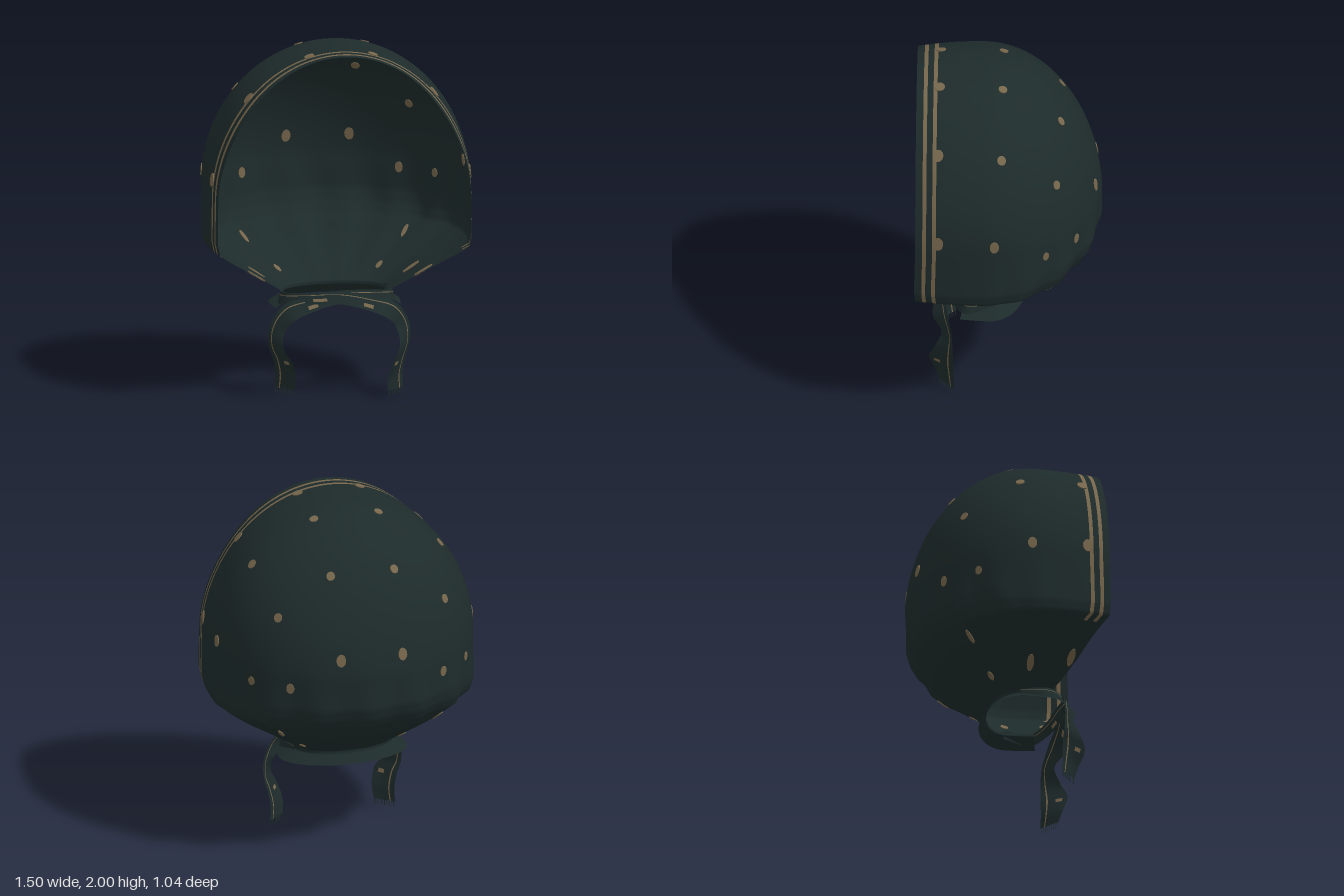
import * as THREE from 'three';

const cloth = new THREE.MeshStandardMaterial({ color: 0x1e2b2b, side: THREE.DoubleSide });
cloth.name = 'dark green cloth';
const tan = new THREE.MeshStandardMaterial({ color: 0x76664c, side: THREE.DoubleSide });
tan.name = 'tan print';

// Smooth sheet from a grid of points; cells chosen by "printed(row, column)" are tan
function sheet(name, grid, printed) {
  const cols = grid[0].length;
  const index = [[], []];
  for (let i = 0; i < grid.length - 1; i++) {
    for (let j = 0; j < cols - 1; j++) {
      const a = i * cols + j, b = a + cols;
      index[printed(i, j) ? 1 : 0].push(a, b, a + 1, a + 1, b, b + 1);
    }
  }
  const geo = new THREE.BufferGeometry().setFromPoints(grid.flat());
  geo.setIndex([...index[0], ...index[1]]);
  geo.addGroup(0, index[0].length, 0);
  geo.addGroup(index[0].length, index[1].length, 1);
  geo.computeVertexNormals();
  const mesh = new THREE.Mesh(geo, [cloth, tan]);
  mesh.name = name;
  return mesh;
}

// Level slices of the lower hood: y, half width, front z, back z, z where the side starts to curve
const LOWER = [
  [1.2, 0.75, 0.515, -0.517, 0.15],
  [1.0, 0.752, 0.52, -0.51, 0.15],
  [0.93, 0.752, 0.52, -0.485, 0.15],
  [0.87, 0.738, 0.515, -0.445, 0.15],
  [0.83, 0.685, 0.475, -0.405, 0.145],
  [0.78, 0.61, 0.43, -0.36, 0.14],
  [0.7, 0.48, 0.37, -0.26, 0.13],
  [0.62, 0.36, 0.3, -0.14, 0.11],
  [0.57, 0.29, 0.25, -0.06, 0.1],
  [0.55, 0.285, 0.25, -0.06, 0.1],
  [0.525, 0.33, 0.26, -0.08, 0.1],
  [0.5, 0.37, 0.27, -0.1, 0.1],
];

function hoodSlices() {
  const slices = [];
  const n = 36;
  for (let i = 0; i < n; i++) {
    const a = (i / n) * Math.PI / 2;
    const y = 1.2 + 0.8 * Math.cos(a);
    const back = 0.15 - 0.67 * Math.sqrt(Math.max(0, 1 - ((y - 1.12) / 0.88) ** 2));
    slices.push([y, 0.75 * Math.sin(a), 0.515, back, 0.15]);
  }
  for (let k = 0; k < LOWER.length - 1; k++) {
    const steps = k === 0 ? 8 : 4;
    for (let s = 0; s < steps; s++) {
      slices.push(LOWER[k].map((v, c) => THREE.MathUtils.lerp(v, LOWER[k + 1][c], s / steps)));
    }
  }
  slices.push(LOWER[LOWER.length - 1]);
  return slices;
}

// One U-shaped slice, from the left rim around the back to the right rim
const RIM = [0, 0.04, 0.062, 0.095, 0.117];
function slicePoints([y, w, zf, zb, zc]) {
  const half = [];
  // the face opening draws in slightly, more so towards the top
  const up = THREE.MathUtils.smoothstep(y, 1.1, 1.8);
  const side = (z) => {
    const k = ((z - zc) / (zf - zc)) ** 2;
    half.push(new THREE.Vector3(w * (1 - (0.045 + 0.05 * up) * k), y - 0.01 * up * k, z));
  };
  RIM.forEach((d) => side(zf - d));
  for (let i = 1; i <= 5; i++) side(THREE.MathUtils.lerp(zf - RIM[4], zc, i / 5));
  // gathered folds fade in towards the neck
  const fold = 0.02 * THREE.MathUtils.smoothstep(1.3 - y, 0, 0.5) * THREE.MathUtils.smoothstep(y, 0.5, 0.72);
  for (let i = 1; i <= 44; i++) {
    const t = (i / 44) * Math.PI / 2;
    const r = 1 + fold * Math.cos(16 * t) * Math.min(1, t * 1.5);
    half.push(new THREE.Vector3(w * Math.cos(t) * r, y, zc + (zb - zc) * Math.sin(t) * r));
  }
  const mirrored = half.slice(0, -1).reverse().map((p) => new THREE.Vector3(-p.x, p.y, p.z));
  return [...half, ...mirrored];
}

// Printed dots on the left half: x, y, z, radius, stretch
const DOTS = [
  [0.19, 1.97, 0.03, 0.025, 1], [0.18, 1.97, 0.385, 0.029, 1],
  [0.56, 1.74, 0.03, 0.025, 1.1], [0.51, 1.73, 0.385, 0.029, 1.2],
  [0.19, 1.76, -0.31, 0.024, 1.1], [0.5, 1.53, -0.29, 0.024, 1.1],
  [0.75, 1.27, 0.07, 0.026, 1.35], [0.72, 1.28, 0.385, 0.029, 1.35],
  [0.18, 1.31, -0.49, 0.027, 1.35], [0.45, 1.13, -0.39, 0.023, 1.35],
  [0.63, 1.13, -0.22, 0.02, 1.3], [0.44, 0.67, 0.11, 0.02, 2.8],
  [0.47, 0.71, 0.335, 0.02, 3], [0.46, 0.79, -0.24, 0.013, 3.5],
  [0.3, 0.62, -0.1, 0.015, 2],
];

function addDots(group, hood) {
  const pos = hood.geometry.attributes.position, nor = hood.geometry.attributes.normal;
  const p = new THREE.Vector3(), best = new THREE.Vector3(), normal = new THREE.Vector3();
  for (const s of [1, -1]) {
    for (const [x, y, z, r, stretch] of DOTS) {
      const target = new THREE.Vector3(x * s, y, z);
      let d = Infinity;
      for (let i = 0; i < pos.count; i++) {
        p.fromBufferAttribute(pos, i);
        if (p.distanceToSquared(target) < d) {
          d = p.distanceToSquared(target);
          best.copy(p);
          normal.fromBufferAttribute(nor, i).normalize();
        }
      }
      // lay the plate on the cloth, long side running up the hood
      target.addScaledVector(normal, best.sub(target).dot(normal));
      const dot = new THREE.Mesh(new THREE.CylinderGeometry(r, r, 0.0095, 14).rotateX(Math.PI / 2), tan);
      dot.name = 'printedDot';
      dot.position.copy(target);
      dot.lookAt(target.add(normal));
      dot.scale.y = stretch;
      group.add(dot);
    }
  }
}

// Tie: ribbon centre x, y, z, then half-width vector; starts on the far side and crosses in front
const TIE = [
  [-0.29, 0.555, 0.08, 0, 0.025, 0],
  [-0.32, 0.55, 0.24, 0.01, 0.032, 0],
  [-0.2, 0.565, 0.325, 0, 0.03, -0.015],
  [0, 0.57, 0.36, 0, 0.032, -0.02],
  [0.17, 0.535, 0.375, 0.01, 0.035, -0.03],
  [0.29, 0.49, 0.37, 0.03, 0.035, -0.04],
  [0.355, 0.4, 0.345, 0.04, 0.01, -0.03],
  [0.365, 0.3, 0.36, 0.035, 0, -0.05],
  [0.33, 0.2, 0.375, 0.045, 0, -0.07],
  [0.31, 0.11, 0.36, 0.05, 0, -0.055],
  [0.315, 0.03, 0.345, 0.05, 0, -0.043],
];

function makeTie(s, lift, zShift) {
  const group = new THREE.Group();
  group.name = s > 0 ? 'leftTie' : 'rightTie';
  const edge = (sign) => new THREE.CatmullRomCurve3(TIE.map(([x, y, z, ux, uy, uz], i) =>
    new THREE.Vector3(s * (x + sign * ux), y + sign * uy + (i > 7 ? lift : 0), z + sign * uz + (i > 1 && i < 6 ? zShift : 0))));
  const a = edge(-1), b = edge(1);
  const across = [0, 0.2, 0.45, 0.73, 0.79, 1];
  const grid = [];
  for (let i = 0; i <= 80; i++) {
    const pa = a.getPoint(i / 80), pb = b.getPoint(i / 80);
    grid.push(across.map((t) => pa.clone().lerp(pb, t)));
  }
  // a thin stripe along the ribbon and a few printed patches
  const patch = (i) => [18, 19, 20, 30, 31, 32, 64, 65].includes(i);
  group.add(sheet('tieRibbon', grid, (i, j) => j === 3 || (j === 1 && patch(i))));
  // frayed threads at the end
  const end = grid[80];
  for (let i = 0; i < 9; i++) {
    const thread = new THREE.Mesh(new THREE.BoxGeometry(0.004, 0.032, 0.004), cloth);
    thread.name = 'fringeThread';
    thread.position.copy(end[0]).lerp(end[across.length - 1], (i + 0.5) / 9);
    thread.position.y -= 0.014;
    group.add(thread);
  }
  return group;
}

export function createModel() {
  const model = new THREE.Group();
  model.name = 'headScarf';

  // hood with two stripes beside the face opening, ending below the cheek corner
  const grid = hoodSlices().map(slicePoints);
  const last = grid[0].length - 2;
  const hood = sheet('hood', grid, (i, j) => grid[i][0].y > 0.84 && [1, 3, last - 1, last - 3].includes(j));
  model.add(hood);
  addDots(model, hood);

  // tied ends
  model.add(makeTie(1, 0, 0.012), makeTie(-1, 0.025, -0.012));
  return model;
}
